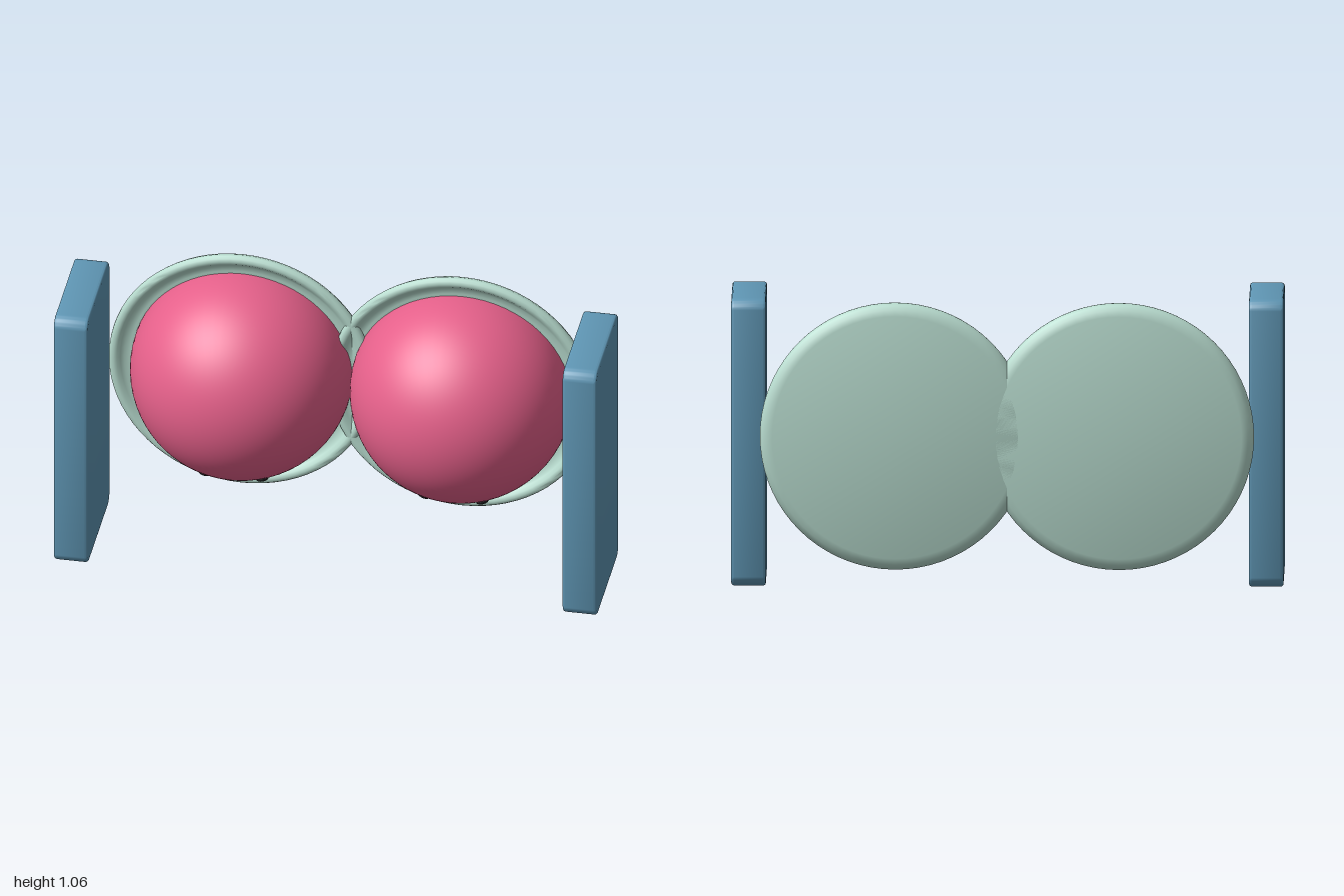
import * as THREE from 'three';
import { toCreasedNormals } from 'three/addons/utils/BufferGeometryUtils.js';

const mat = (name, color) => {
  const m = new THREE.MeshStandardMaterial({ color });
  m.name = name;
  return m;
};

const DOME_R = 0.405;

function makeMesh(name, geometry, material) {
  const m = new THREE.Mesh(geometry, material);
  m.name = name;
  return m;
}

// Upright slab: rounded outline in z/y, thin bevel across x
function slabGeometry(width, height, depth, radius, bevel) {
  const w = depth / 2 - bevel, h = height / 2 - bevel, r = radius;
  const s = new THREE.Shape();
  s.moveTo(-w + r, -h);
  s.lineTo(w - r, -h);
  s.absarc(w - r, -h + r, r, -Math.PI / 2, 0);
  s.absarc(w - r, h - r, r, 0, Math.PI / 2);
  s.absarc(-w + r, h - r, r, Math.PI / 2, Math.PI);
  s.absarc(-w + r, -h + r, r, Math.PI, Math.PI * 1.5);
  const g = new THREE.ExtrudeGeometry(s, {
    depth: width - 2 * bevel, bevelEnabled: true, bevelSize: bevel,
    bevelThickness: bevel, bevelSegments: 3, curveSegments: 5,
  });
  g.center();
  g.rotateY(Math.PI / 2);
  return toCreasedNormals(g, 0.6);
}

// Dish with a flat back, rounded edge and raised rim; axis turned to +z
function dishGeometry() {
  const profile = [
    [0, -0.288], [0.445, -0.288], [0.468, -0.282], [0.482, -0.27], [0.49, -0.252],
    [0.489, -0.241], [0.482, -0.233], [0.47, -0.23], [0.458, -0.234],
    [0.447, -0.245], [0.435, -0.254], [0.415, -0.258], [0, -0.258],
  ].map(([r, y]) => new THREE.Vector2(r, y));
  const g = new THREE.LatheGeometry(profile, 72);
  g.rotateX(Math.PI / 2);
  return toCreasedNormals(g, 0.8);
}

// Puts an object on the dome surface, facing outward, with its top toward the dome's crown
function onDome(object, x, z, lift = 0) {
  const y = -Math.sqrt(DOME_R * DOME_R - x * x - z * z);
  object.up.set(0, 0, 1);
  object.position.set(x, y, z).setLength(DOME_R + lift);
  object.lookAt(object.position.clone().multiplyScalar(2));
  return object;
}

export function createModel() {
  const blue = mat('slab blue', 0x5f96b4);
  const pink = mat('dome pink', 0xe5608a);
  const mint = mat('dish mint', 0xb8dccf);
  const black = mat('face black', 0x1c1c1e);
  const blush = mat('cheek pink', 0xec4878);

  const model = new THREE.Group();
  model.name = 'twinDomes';

  const slab = slabGeometry(0.125, 1.055, 0.445, 0.035, 0.01);
  const dish = dishGeometry();
  const dome = new THREE.SphereGeometry(DOME_R, 64, 32, 0, Math.PI * 2, 0, Math.PI / 2 + 0.04);
  dome.rotateX(Math.PI / 2);
  const eye = new THREE.SphereGeometry(0.023, 20, 14);
  const cheek = new THREE.SphereGeometry(0.032, 24, 12);
  const smile = new THREE.TorusGeometry(0.016, 0.005, 8, 16, Math.PI);
  smile.rotateZ(Math.PI);
  const smileEnd = new THREE.SphereGeometry(0.005, 8, 6);

  for (const side of [-1, 1]) {
    const sideName = side > 0 ? 'left' : 'right';

    const end = makeMesh(sideName + 'Slab', slab, blue);
    end.position.set(side * 0.9375, 0.5275, 0.0625);
    model.add(end);

    const plate = makeMesh(sideName + 'Dish', dish, mint);
    plate.position.set(side * 0.405, 0.572, 0);
    model.add(plate);

    const body = new THREE.Group();
    body.name = sideName + 'Dome';
    body.position.set(side * 0.405, 0.572, -0.245);
    body.add(makeMesh('domeBody', dome, pink));

    // Small face on the underside of the dome
    for (const s of [-1, 1]) {
      const e = onDome(makeMesh('eye', eye, black), s * 0.107, 0.165);
      e.scale.z = 0.5;
      body.add(e);
      const c = onDome(makeMesh('cheek', cheek, blush), s * 0.155, 0.095);
      c.scale.set(1, 0.65, 0.2);
      body.add(c);
    }
    const mouth = new THREE.Group();
    mouth.name = 'mouth';
    for (const s of [-1, 1]) {
      const arc = makeMesh('mouthCurve', smile, black);
      arc.position.x = s * 0.016;
      mouth.add(arc);
    }
    for (const x of [-0.032, 0, 0.032]) {
      const tip = makeMesh('mouthTip', smileEnd, black);
      tip.position.x = x;
      mouth.add(tip);
    }
    body.add(onDome(mouth, 0, 0.1, 0.002));
    model.add(body);
  }
  return model;
}
